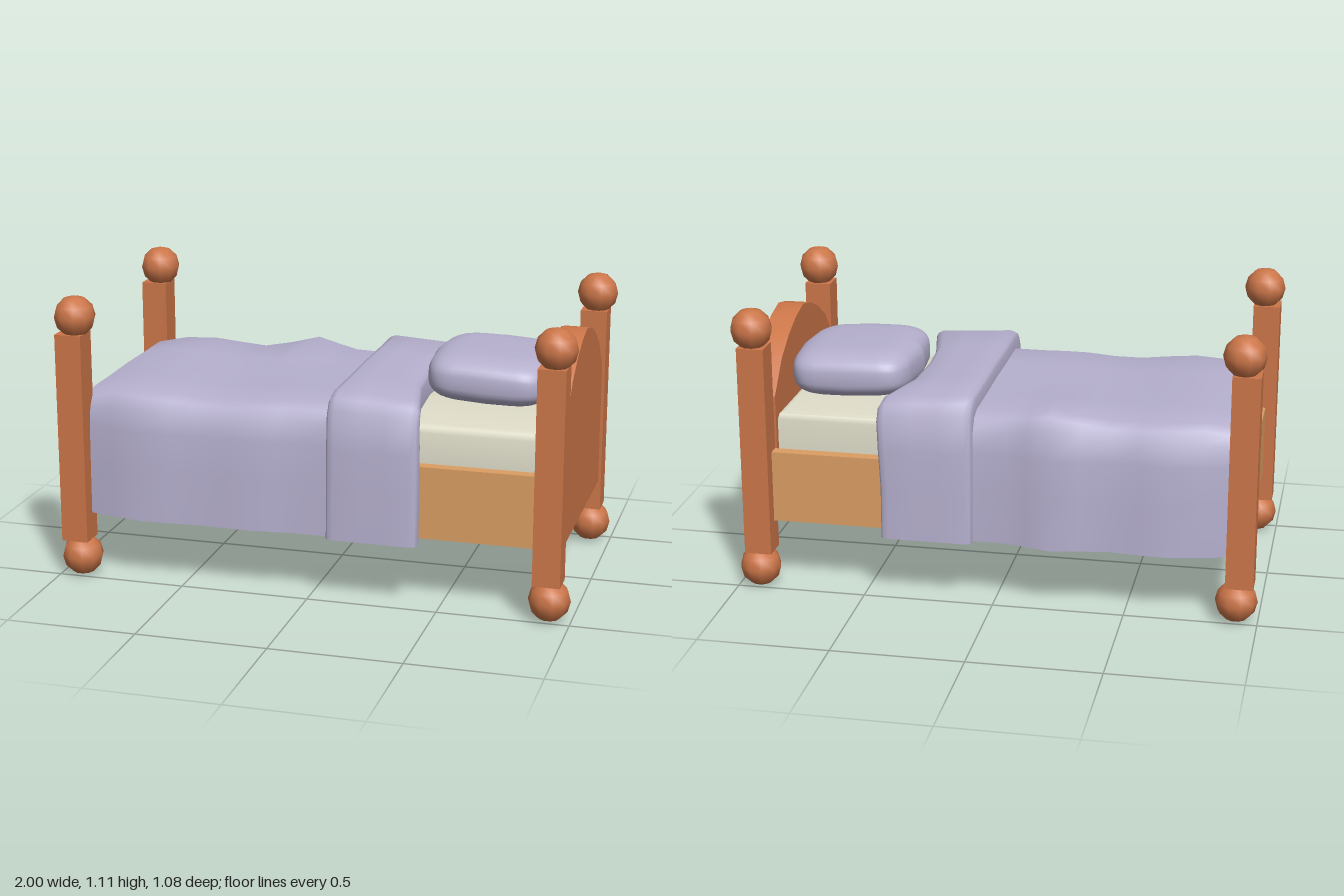
import * as THREE from 'three';
import { toCreasedNormals } from 'three/addons/utils/BufferGeometryUtils.js';

const makeMaterial = (name, color) =>
  Object.assign(new THREE.MeshStandardMaterial({ color, side: THREE.DoubleSide }), { name });

// Skin over rows of [x, y, z] points
function loft(rows, crease, closed = false) {
  const n = rows[0].length, index = [];
  for (let i = 0; i < rows.length - 1; i++) {
    for (let j = 0; j < (closed ? n : n - 1); j++) {
      const k = (j + 1) % n;
      const a = i * n + j, b = a + n, d = i * n + k, c = d + n;
      index.push(a, d, b, d, c, b);
    }
  }
  const geometry = new THREE.BufferGeometry();
  geometry.setAttribute('position', new THREE.Float32BufferAttribute(rows.flat(2), 3));
  geometry.setIndex(index);
  return toCreasedNormals(geometry, crease);
}

// Draped cloth section at x, from the back hem over the top to the front hem
function drape(x, top, back, front, lift) {
  const side = [[0, 0.25], [0.003, 0.45], [0.007, 0.6],
    [0.018, top - 0.06], [0.045, top - 0.018], [0.095, top]];
  const half = (w, sign, up) => side.map(([inset, y], i) => [x, y + (i > 2 ? up : 0), sign * (w - inset)]);
  return [
    ...half(-back, -1, lift),
    [x, top + lift * 0.3, -0.2], [x, top + 0.003, 0], [x, top, 0.2],
    ...half(front, 1, 0).reverse(),
  ];
}

export function createModel() {
  const bed = new THREE.Group();
  bed.name = 'bed';
  const darkWood = makeMaterial('dark wood', 0xcc7649);
  const lightWood = makeMaterial('light wood', 0xdb9e63);
  const ticking = makeMaterial('mattress cloth', 0xdedcc8);
  const bedding = makeMaterial('lilac bedding', 0xb6b0ce);

  const add = (name, geometry, material, x = 0, y = 0, z = 0) => {
    const mesh = new THREE.Mesh(geometry, material);
    mesh.name = name;
    mesh.position.set(x, y, z);
    bed.add(mesh);
    return mesh;
  };
  // Box given by its minimum and maximum on each axis; omit lists faces left open
  const addBox = (name, material, [x0, x1], [y0, y1], [z0, z1], omit = []) => {
    const box = new THREE.BoxGeometry(x1 - x0, y1 - y0, z1 - z0);
    box.setIndex([...box.index.array].filter((_, i) => !omit.includes(Math.floor(i / 6))));
    box.clearGroups();
    add(name, box, material, (x0 + x1) / 2, (y0 + y1) / 2, (z0 + z1) / 2);
  };
  const LEFT = 0, BOTTOM = 3, FRONT = 4, BACK = 5;

  // Four posts with a ball at each end
  const ball = new THREE.SphereGeometry(0.08, 10, 6);
  for (const [end, postX, ballX] of [['foot', -0.93, -0.918], ['head', 0.912, 0.918]]) {
    for (const z of [-0.463, 0.463]) {
      addBox(end + 'Post', darkWood, [postX - 0.052, postX + 0.052], [0.145, 0.965], [z - 0.052, z + 0.052]);
      add(end + 'Foot', ball, darkWood, ballX, 0.08, z);
      add(end + 'Finial', ball, darkWood, ballX, 1.03, z);
    }
  }

  // Arched headboard, open along its lower edge
  const arch = [[0, 0.998], [0.1, 0.977], [0.2, 0.935], [0.305, 0.87], [0.41, 0.75], [0.41, 0.265]];
  const outline = [...arch.slice(1).reverse().map(([z, y]) => [-z, y]), ...arch];
  const boardRows = [[0.853, 0], [0.853, 1], [0.953, 1], [0.953, 0]].map(([x, size]) =>
    outline.map(([z, y]) => [x, 0.265 + (y - 0.265) * size, z * size]));
  add('headboard', loft(boardRows, 0.5), darkWood);

  // Hollow rails and the base board under the mattress
  addBox('backRail', lightWood, [-0.89, 0.87], [0.265, 0.543], [-0.459, -0.412], [BOTTOM, FRONT]);
  addBox('frontRail', lightWood, [-0.89, 0.87], [0.265, 0.543], [0.398, 0.445], [BOTTOM, BACK]);
  addBox('footRail', lightWood, [-0.941, -0.893], [0.265, 0.543], [-0.412, 0.412], [BOTTOM, LEFT]);
  addBox('baseBoard', lightWood, [-0.9, 0.845], [0.533, 0.541], [-0.445, 0.435]);

  // Mattress, open underneath, with a wider skirt inside the rails
  const rings = [[0.475, 0, 0.04], [0.532, 0, 0.04], [0.532, 0, 0], [0.66, 0, 0],
    [0.682, 0.006, 0], [0.692, 0.025, 0], [0.692, 0.404, 0]].map(([y, i, skirt]) => {
    const x0 = -0.89 + i, x1 = 0.845 - i, z0 = -0.41 + i - skirt, z1 = 0.4 - i + skirt;
    return [[x0, y, z1], [x1, y, z1], [x1, y, z0], [x0, y, z0]];
  });
  add('mattress', loft(rings, 0.9, true), ticking);

  // Blanket with gentle folds: x, top height, back edge, front edge, lift along the back
  const stations = [
    [-0.895, 0.728, -0.462, 0.452, 0], [-0.78, 0.748, -0.488, 0.48, 0],
    [-0.66, 0.748, -0.512, 0.503, 0], [-0.55, 0.74, -0.505, 0.498, 0],
    [-0.44, 0.73, -0.495, 0.49, 0.004], [-0.33, 0.73, -0.512, 0.492, 0.022],
    [-0.22, 0.738, -0.53, 0.495, 0.04], [-0.13, 0.742, -0.505, 0.485, 0.02],
    [-0.05, 0.743, -0.488, 0.476, 0.004], [0.1, 0.743, -0.484, 0.478, 0]];
  const blanketRows = stations.map((station) => drape(...station));
  add('blanket', loft(blanketRows, 1), bedding);
  // Blanket end tucked behind the foot rail
  const rim = blanketRows[0].slice(2, -2);
  add('blanketEnd', loft([rim.map(([x, y, z]) => [x, Math.min(y, 0.5), z]), rim], 1), bedding);

  // Turned-down cover: rounded ends and a concave edge by the pillow
  const foldStations = [[0.078, 0.1], [0.076, 0.022], [0.084, 0.008], [0.105, 0], [0.2, 0],
    [0.3, 0], [0.395, 0], [0.415, 0.008], [0.423, 0.022], [0.42, 0.11]];
  const foldRows = foldStations.map(([x, inset]) => {
    const t = THREE.MathUtils.clamp((x - 0.1) / 0.32, 0, 1);
    return drape(x, 0.808 - 0.02 * t - inset, -0.524 + inset * 0.55, 0.515 - inset * 0.55, 0)
      .map(([px, y, z]) => {
        const upper = THREE.MathUtils.smoothstep(y, 0.5, 0.68);
        const curve = -0.07 * Math.max(0, 1 - (z / 0.45) ** 2) + (z < -0.3 ? 0.015 : 0);
        return [px + curve * upper * t, y, z];
      });
  });
  add('foldedCover', loft(foldRows, 1), bedding);

  // Pillow: a sphere squared off into a cushion with bulging sides
  const pillow = new THREE.SphereGeometry(1, 40, 20);
  const p = pillow.attributes.position;
  const power = (v, e) => Math.sign(v) * Math.abs(v) ** e;
  for (let i = 0; i < p.count; i++) {
    const y = p.getY(i), r = Math.hypot(p.getX(i), p.getZ(i));
    const spread = r > 1e-6 ? r ** 0.45 : 0;
    const x = power(p.getX(i) / (r || 1), 0.3) * spread;
    const z = power(p.getZ(i) / (r || 1), 0.3) * spread;
    p.setXYZ(i, 0.248 * x * (1 - 0.14 * z * z), 0.094 * power(y, 0.7) * (1 - 0.2 * x * x * z * z),
      0.272 * z * (1 - 0.04 * x * x));
  }
  pillow.computeVertexNormals();
  add('pillow', pillow, bedding, 0.603, 0.802, -0.05).rotation.z = -0.04;

  return bed;
}
